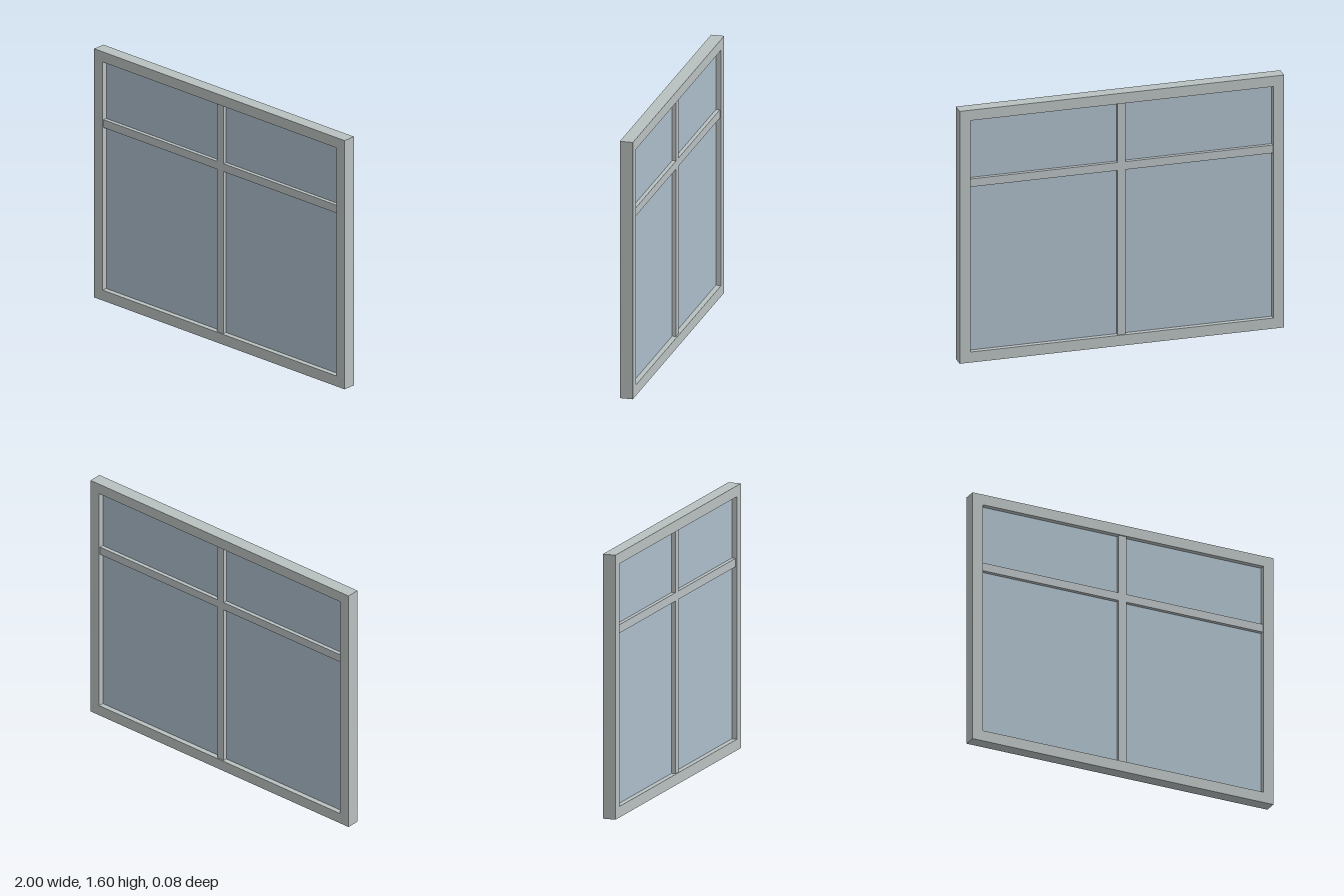
import * as THREE from 'three';

const rectPoints = (x0, y0, x1, y1) => [[x0, y0], [x1, y0], [x1, y1], [x0, y1]].map(([x, y]) => new THREE.Vector2(x, y));

// Extrudes a flat shape to a depth centred on z = 0
function slab(name, shape, depth, color) {
  const geometry = new THREE.ExtrudeGeometry(shape, { depth, bevelEnabled: false });
  geometry.translate(0, 0, -depth / 2);
  const mesh = new THREE.Mesh(geometry, new THREE.MeshStandardMaterial({ color }));
  mesh.name = name;
  return mesh;
}

export function createModel() {
  const model = new THREE.Group();
  model.name = 'window';
  const innerX = 0.933, bottom = 0.067, top = 1.537;
  const barX = 0.025, barBottom = 1.112, barTop = 1.163;

  // Outer frame with one large opening
  const frame = new THREE.Shape(rectPoints(-1, 0, 1, 1.603));
  frame.holes.push(new THREE.Path(rectPoints(-innerX, bottom, innerX, top)));
  model.add(slab('frame', frame, 0.08, 0xb9c1c0));

  // Cross of glazing bars, slightly recessed from the frame
  const cross = new THREE.Shape([
    [-barX, bottom], [barX, bottom], [barX, barBottom], [innerX, barBottom],
    [innerX, barTop], [barX, barTop], [barX, top], [-barX, top],
    [-barX, barTop], [-innerX, barTop], [-innerX, barBottom], [-barX, barBottom],
  ].map(([x, y]) => new THREE.Vector2(x, y)));
  model.add(slab('glazingBars', cross, 0.064, 0xb9c0c2));

  // Four panes, one in each opening
  for (const [label, y0, y1] of [['lower', bottom, barBottom], ['upper', barTop, top]]) {
    for (const [side, x0, x1] of [['Right', -innerX, -barX], ['Left', barX, innerX]]) {
      const pane = new THREE.Shape(rectPoints(x0, y0, x1, y1));
      model.add(slab(`${label}${side}Pane`, pane, 0.016, 0xacbdca));
    }
  }
  return model;
}
